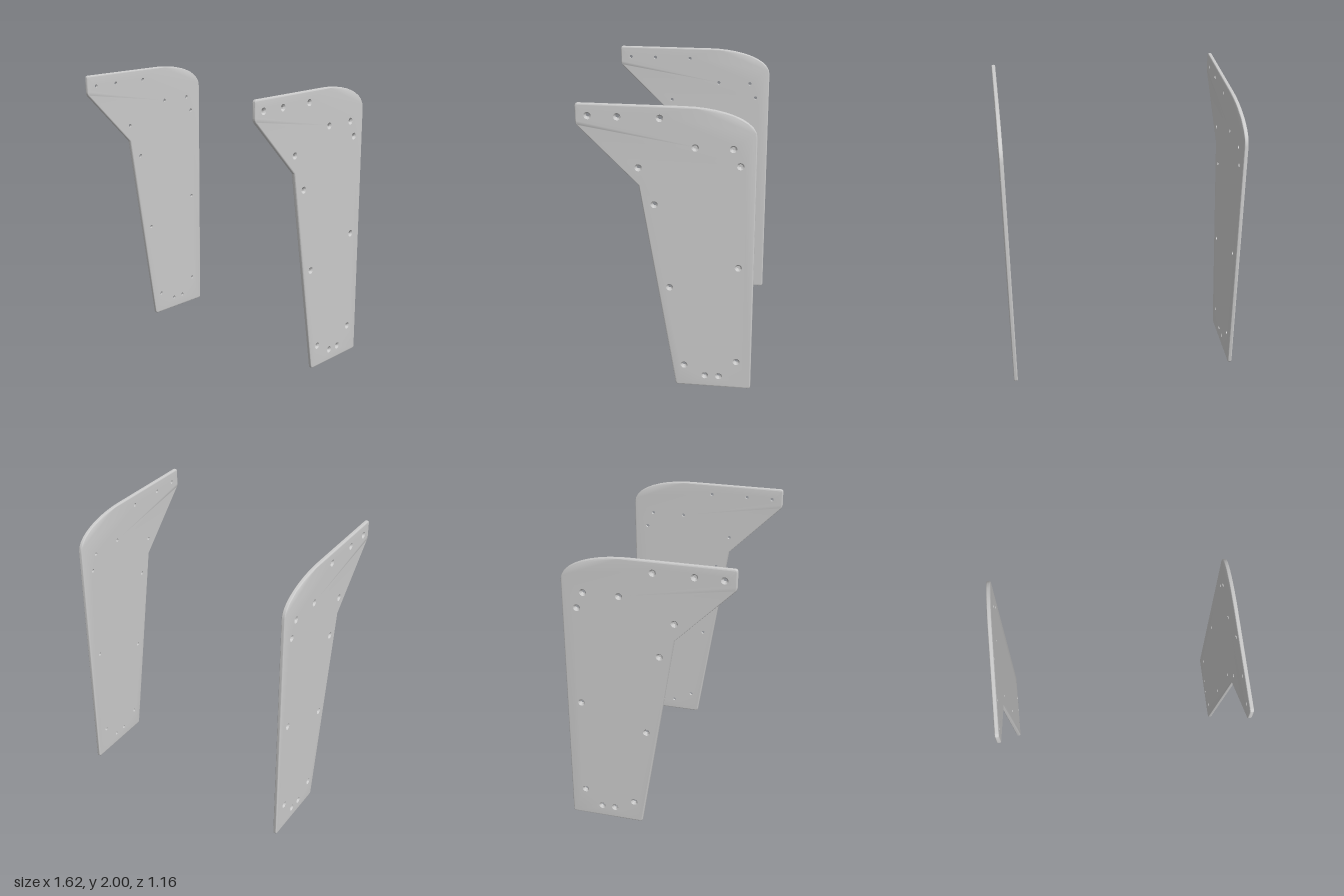
import * as THREE from 'three';
import { mergeGeometries, toCreasedNormals } from 'three/addons/utils/BufferGeometryUtils.js';

const THICK = 0.028, ROUND = 0.009, OFFSET = 0.796;
const HOLE_R = 0.013, SINK_R = 0.024, SINK_DEPTH = 0.012;

// Screw holes as [z, y]
const HOLES = [
  [0.498, 1.92], [0.308, 1.92], [0.037, 1.92], [-0.188, 1.735], [-0.43, 1.735],
  [-0.477, 1.623], [0.178, 1.586], [0.077, 1.337], [-0.477, 0.915], [-0.021, 0.748],
  [-0.119, 0.159], [-0.263, 0.085], [-0.358, 0.085], [-0.477, 0.207],
];

// Plate outline, counter-clockwise, with local x pointing to the back
function outline() {
  const s = new THREE.Shape();
  const f = 0.02;
  s.moveTo(0.062 + f, 0);
  s.lineTo(0.578 - f, 0);
  s.quadraticCurveTo(0.578, 0, 0.578, f);
  s.lineTo(0.578, 1.81);
  s.bezierCurveTo(0.578, 1.93, 0.35, 2, 0.12, 2);
  s.lineTo(-0.578 + f, 2);
  s.quadraticCurveTo(-0.578, 2, -0.578, 2 - f);
  s.lineTo(-0.578, 1.862 + f);
  s.quadraticCurveTo(-0.578, 1.862, -0.564, 1.848);
  s.lineTo(-0.178, 1.464);
  s.lineTo(0.059, f);
  s.quadraticCurveTo(0.062, 0, 0.062 + f, 0);
  const pts = s.getPoints(10);
  if (pts[0].distanceTo(pts[pts.length - 1]) < 1e-6) pts.pop();
  return pts;
}

// Move the outline inward by d with mitred corners
function inset(pts, d) {
  const n = pts.length;
  return pts.map((p, i) => {
    const a = p.clone().sub(pts[(i + n - 1) % n]).normalize();
    const b = pts[(i + 1) % n].clone().sub(p).normalize();
    const m = new THREE.Vector2(-a.y - b.y, a.x + b.x);
    return m.multiplyScalar(d / (1 + a.dot(b))).add(p);
  });
}

// Rounded rim, swept around the outline
function rimGeometry(pts) {
  const rings = [], steps = 4, h = THICK / 2 - ROUND;
  for (const side of [-1, 1]) {
    for (let k = 0; k <= steps; k++) {
      const a = (side < 0 ? steps - k : k) / steps * Math.PI / 2;
      rings.push([ROUND * (1 - Math.cos(a)), side * (h + ROUND * Math.sin(a))]);
    }
  }
  const pos = [], idx = [], n = pts.length;
  rings.forEach(([d, z], r) => {
    inset(pts, d).forEach((p) => pos.push(p.x, p.y, z));
    if (r === 0) return;
    for (let i = 0; i < n; i++) {
      const a = (r - 1) * n + i, b = (r - 1) * n + (i + 1) % n;
      idx.push(a, b, b + n, a, b + n, a + n);
    }
  });
  const g = new THREE.BufferGeometry();
  g.setAttribute('position', new THREE.Float32BufferAttribute(pos, 3));
  g.setIndex(idx);
  return g;
}

// Flat face with round openings
function faceGeometry(pts, radius, dir) {
  const shape = new THREE.Shape(inset(pts, ROUND));
  for (const [z, y] of HOLES) {
    const hole = new THREE.Path();
    hole.absarc(-z, y, radius, 0, Math.PI * 2, true);
    shape.holes.push(hole);
  }
  const g = new THREE.ShapeGeometry(shape, 12);
  if (dir < 0) g.setIndex(Array.from(g.index.array).reverse());
  return g.translate(0, 0, dir * THICK / 2);
}

// Countersunk bore, wide end on the outer face
function boreGeometry(z, y, side) {
  const t = THICK / 2;
  const profile = [[SINK_R, t], [HOLE_R, t - SINK_DEPTH], [HOLE_R, -t]]
    .map(([r, h]) => new THREE.Vector2(r, h));
  return new THREE.LatheGeometry(profile, 24).rotateX(side * Math.PI / 2).translate(-z, y, 0);
}

function plateGeometry(side) {
  const pts = outline();
  const parts = [
    rimGeometry(pts),
    faceGeometry(pts, SINK_R, side),
    faceGeometry(pts, HOLE_R, -side),
    ...HOLES.map(([z, y]) => boreGeometry(z, y, side)),
  ].map((g) => {
    const flat = g.toNonIndexed();
    flat.deleteAttribute('uv');
    flat.deleteAttribute('normal');
    return flat;
  });
  return toCreasedNormals(mergeGeometries(parts), 0.6);
}

export function createModel() {
  const group = new THREE.Group();
  group.name = 'sidePanels';
  const material = new THREE.MeshStandardMaterial({ color: 0xcccccc, side: THREE.DoubleSide });
  for (const [name, side] of [['leftPanel', 1], ['rightPanel', -1]]) {
    const panel = new THREE.Mesh(plateGeometry(side), material);
    panel.name = name;
    panel.rotation.y = Math.PI / 2;
    panel.position.x = side * OFFSET;
    group.add(panel);
  }
  return group;
}
